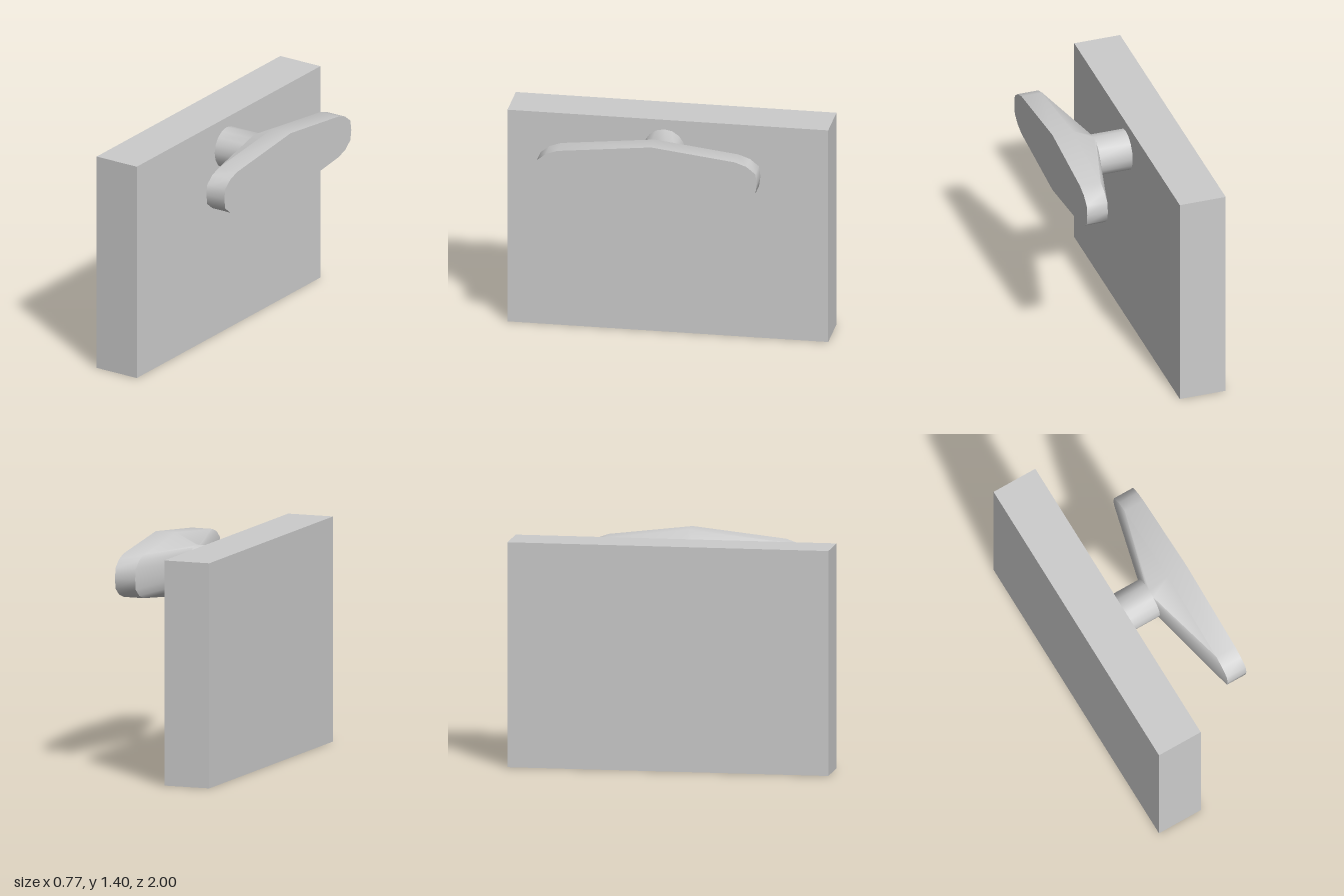
import * as THREE from 'three';
import { toCreasedNormals } from 'three/addons/utils/BufferGeometryUtils.js';

const SIDES = 16, CY = 1.207, CZ = 0.022;

// Round stem section, as [z, y] offsets from the handle axis
function circleSection(r) {
  return Array.from({ length: SIDES }, (_, k) => {
    const a = (k / SIDES) * Math.PI * 2;
    return [r * Math.cos(a), r * Math.sin(a)];
  });
}

// Long grip section: blunt ends, highest at the middle; the +z end is longer
function gripSection() {
  const quarter = [[0, 0], [0.01, 0.065], [0.066, 0.11], [0.138, 0.135]];
  const front = 0.722, back = -0.66;
  const upper = [
    ...quarter.map(([d, y]) => [front - d, y]),
    [0, 0.198],
    ...quarter.map(([d, y]) => [back + d, y]).reverse(),
  ];
  const lower = upper.slice(1, -1).reverse().map(([z, y]) => [z, -y]);
  return [...upper, ...lower];
}

// Skin the sections along x and close the outer end
function loft(sections) {
  const pos = [], index = [];
  for (const [x, ring] of sections) {
    for (const [z, y] of ring) pos.push(x, CY + y, CZ + z);
  }
  for (let i = 0; i < sections.length - 1; i++) {
    for (let k = 0; k < SIDES; k++) {
      const n = (k + 1) % SIDES;
      const a = i * SIDES + k, b = i * SIDES + n;
      const c = b + SIDES, d = a + SIDES;
      index.push(a, d, c, a, c, b);
    }
  }
  const last = (sections.length - 1) * SIDES, centre = pos.length / 3;
  pos.push(sections[sections.length - 1][0], CY, CZ);
  for (let k = 0; k < SIDES; k++) index.push(centre, last + ((k + 1) % SIDES), last + k);

  const geo = new THREE.BufferGeometry();
  geo.setAttribute('position', new THREE.Float32BufferAttribute(pos, 3));
  geo.setIndex(index);
  return toCreasedNormals(geo, THREE.MathUtils.degToRad(50));
}

export function createModel() {
  const group = new THREE.Group();
  group.name = 'panelWithHandle';
  const material = new THREE.MeshStandardMaterial({ color: 0xcccccc });

  // Flat upright slab
  const panel = new THREE.Mesh(new THREE.BoxGeometry(0.298, 1.4, 2), material);
  panel.name = 'panel';
  panel.position.set(-0.239, 0.7, 0);
  group.add(panel);

  // Stem flaring into a wide grip
  const stem = circleSection(0.13), grip = gripSection();
  const handle = new THREE.Mesh(
    loft([[-0.09, stem], [0.12, stem], [0.253, grip], [0.387, grip]]),
    material
  );
  handle.name = 'handle';
  group.add(handle);

  return group;
}
